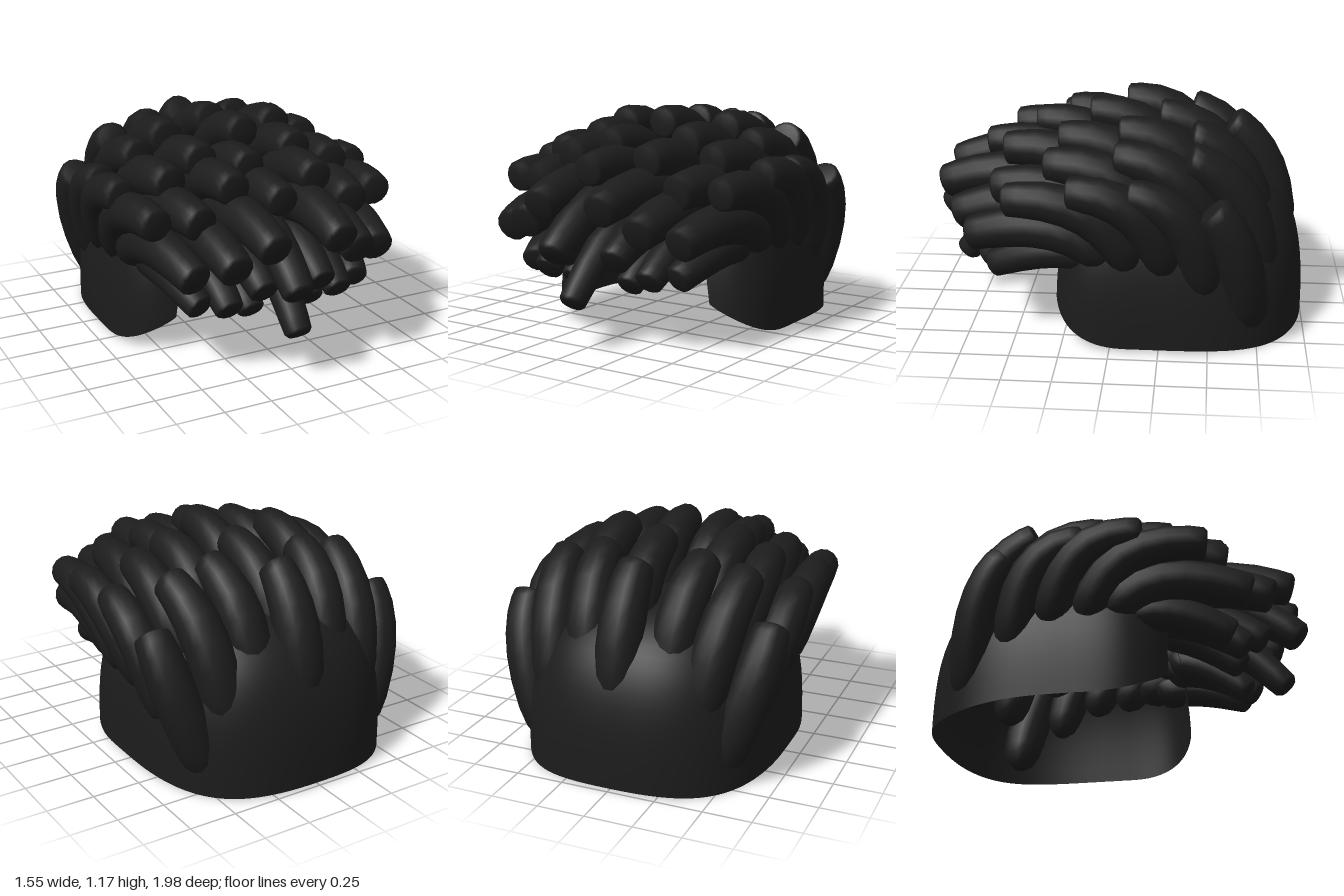
import * as THREE from 'three';

const material = new THREE.MeshStandardMaterial({ color: 0x1c1c1c });
const capMaterial = new THREE.MeshStandardMaterial({ color: 0x1c1c1c, side: THREE.DoubleSide });

// Turns rows of points into a surface that closes around each row
function loft(rows) {
  const n = rows[0].length, index = [];
  for (let i = 0; i < rows.length - 1; i++) {
    for (let j = 0; j < n; j++) {
      const k = (j + 1) % n, a = i * n + j, b = i * n + k, c = b + n, d = a + n;
      index.push(a, b, c, a, c, d);
    }
  }
  const geo = new THREE.BufferGeometry().setFromPoints(rows.flat());
  geo.setIndex(index);
  geo.computeVertexNormals();
  return geo;
}

// Position along the lock and thickness: round root, blunt tip
const PROFILE = [[0, 0], [0.01, 0.4], [0.05, 0.75], [0.11, 0.94], [0.2, 1.03], [0.35, 1.06],
  [0.5, 1.05], [0.65, 1.01], [0.8, 0.95], [0.92, 0.88], [0.985, 0.82], [1, 0.66], [1, 0]];

function lockGeometry(root, tip, lift, r) {
  const a = new THREE.Vector3(...root), b = new THREE.Vector3(...tip);
  const bend = Math.max(0.06, 0.32 - 0.4 * Math.max(0, b.y - a.y));
  const ctrl = new THREE.Vector3(
    a.x * 0.35 + b.x * 0.65 + (Math.abs(a.x) > 0.4 ? 0.07 * Math.sign(a.x) : 0),
    Math.max(a.y, b.y) + lift,
    a.z + (b.z - a.z) * bend);
  const curve = new THREE.QuadraticBezierCurve3(a, ctrl, b);
  const rows = PROFILE.map(([u, s]) => {
    const c = curve.getPoint(u), t = curve.getTangent(u);
    const side = new THREE.Vector3(1, 0, 0).addScaledVector(t, -t.x).normalize();
    const up = new THREE.Vector3().crossVectors(t, side);
    return Array.from({ length: 14 }, (_, j) => {
      const q = j / 14 * Math.PI * 2;
      return c.clone().addScaledVector(side, Math.cos(q) * r * s).addScaledVector(up, Math.sin(q) * r * s);
    });
  });
  return loft(rows);
}

// Lower edge of the cap: nape, rounded sideburn, then the hairline
function edgeHeight(z, s, c) {
  if (z > 0.3) return 0.42 + 0.1 * Math.min(1, (z - 0.3) / 0.05);
  if (z < -0.05) return 0.02 * (1 - 4 * s * s * c * c);
  return 0.22 - 0.2 * Math.sqrt(1 - ((z + 0.05) / 0.35) ** 2);
}

function capGeometry() {
  const rows = [], around = 120, down = 18, top = 0.88, zc = -0.25, p = 3;
  for (let i = down; i >= 0; i--) {
    const row = [];
    for (let j = 0; j < around; j++) {
      const a = j / around * Math.PI * 2, s = Math.sin(a), c = Math.cos(a);
      const e = c > 0 ? 0.5 : 0.8;
      const x = 0.675 * Math.sign(s) * Math.abs(s) ** e;
      const z = (c > 0 ? 0.57 : 0.75) * Math.sign(c) * Math.abs(c) ** e;
      const yb = edgeHeight(z + zc, s, c);
      const y = yb + (top - yb) * Math.cos(i / down * Math.PI / 2);
      const k = Math.max(0, 1 - (y / top) ** p) ** (1 / p);
      row.push(new THREE.Vector3(x * k, y, zc + z * k));
    }
    rows.push(row);
  }
  return loft(rows);
}

// Each lock: root, tip, lift of the bend, radius
const CENTRE = [
  [[0.01, 0.4, -0.85], [0.01, 1.04, -0.59], -0.19, 0.11],
  [[0.02, 0.6, -0.66], [0.03, 1.07, -0.22], -0.05, 0.107],
  [[0.03, 0.7, -0.33], [0.04, 1.08, 0.14], 0.01, 0.103],
  [[-0.08, 0.72, -0.03], [-0.08, 0.99, 0.44], 0.03, 0.1],
  [[-0.04, 0.72, 0.14], [-0.03, 0.88, 0.7], 0.06, 0.1],
  [[-0.05, 0.64, 0.27], [-0.07, 0.49, 0.94], 0.24, 0.1],
  [[0, 0.55, 0.3], [-0.02, 0.24, 0.855], 0.13, 0.085],
];
const SIDES = {
  innerLock: [
    [[0.2, 0.4, -0.74], [0.27, 1.03, -0.39], -0.09, 0.11],
    [[0.31, 0.58, -0.5], [0.32, 1.05, -0.03], 0.01, 0.11],
    [[0.29, 0.65, -0.22], [0.27, 1.0, 0.28], 0.03, 0.11],
    [[0.25, 0.67, 0.02], [0.23, 0.93, 0.57], 0.05, 0.105],
    [[0.22, 0.62, 0.22], [0.18, 0.72, 0.91], 0.18, 0.107],
    [[0.18, 0.55, 0.25], [0.16, 0.45, 0.76], 0.13, 0.095],
    [[0.2, 0.5, 0.22], [0.17, 0.31, 0.64], 0.05, 0.085],
  ],
  middleLock: [
    [[0.38, 0.3, -0.75], [0.49, 0.98, -0.38], -0.13, 0.112],
    [[0.42, 0.48, -0.5], [0.48, 0.97, -0.02], 0, 0.11],
    [[0.43, 0.55, -0.24], [0.46, 0.92, 0.33], 0.04, 0.11],
    [[0.42, 0.55, -0.02], [0.42, 0.79, 0.6], 0.09, 0.11],
    [[0.39, 0.54, 0.12], [0.34, 0.61, 0.82], 0.19, 0.11],
    [[0.34, 0.5, 0.18], [0.31, 0.35, 0.68], 0.1, 0.09],
  ],
  outerLock: [
    [[0.46, 0.06, -0.7], [0.66, 0.78, -0.5], -0.2, 0.11],
    [[0.55, 0.27, -0.48], [0.66, 0.84, -0.1], -0.02, 0.103],
    [[0.57, 0.4, -0.28], [0.67, 0.85, 0.2], 0.02, 0.103],
    [[0.57, 0.42, -0.1], [0.62, 0.79, 0.52], 0.06, 0.103],
    [[0.55, 0.45, 0.02], [0.51, 0.56, 0.72], 0.18, 0.107],
    [[0.5, 0.45, 0.1], [0.44, 0.37, 0.62], 0.1, 0.09],
  ],
};

export function createModel() {
  const model = new THREE.Group();
  model.name = 'hair';
  const add = (name, geo, mat = material) => {
    const mesh = new THREE.Mesh(geo, mat);
    mesh.name = name;
    model.add(mesh);
  };

  // Scalp shell, open at the face and underneath
  add('scalpCap', capGeometry(), capMaterial);

  // Overlapping locks down the middle
  CENTRE.forEach((l, i) => add(`centreLock${i + 1}`, lockGeometry(...l)));

  // Mirrored rows of locks on both sides
  for (const [name, locks] of Object.entries(SIDES)) {
    locks.forEach(([root, tip, lift, r], i) => {
      for (const s of [1, -1]) {
        const flip = ([x, y, z]) => [x * s, y, z];
        add(`${s > 0 ? 'left' : 'right'}-${name}${i + 1}`, lockGeometry(flip(root), flip(tip), lift, r));
      }
    });
  }
  return model;
}
